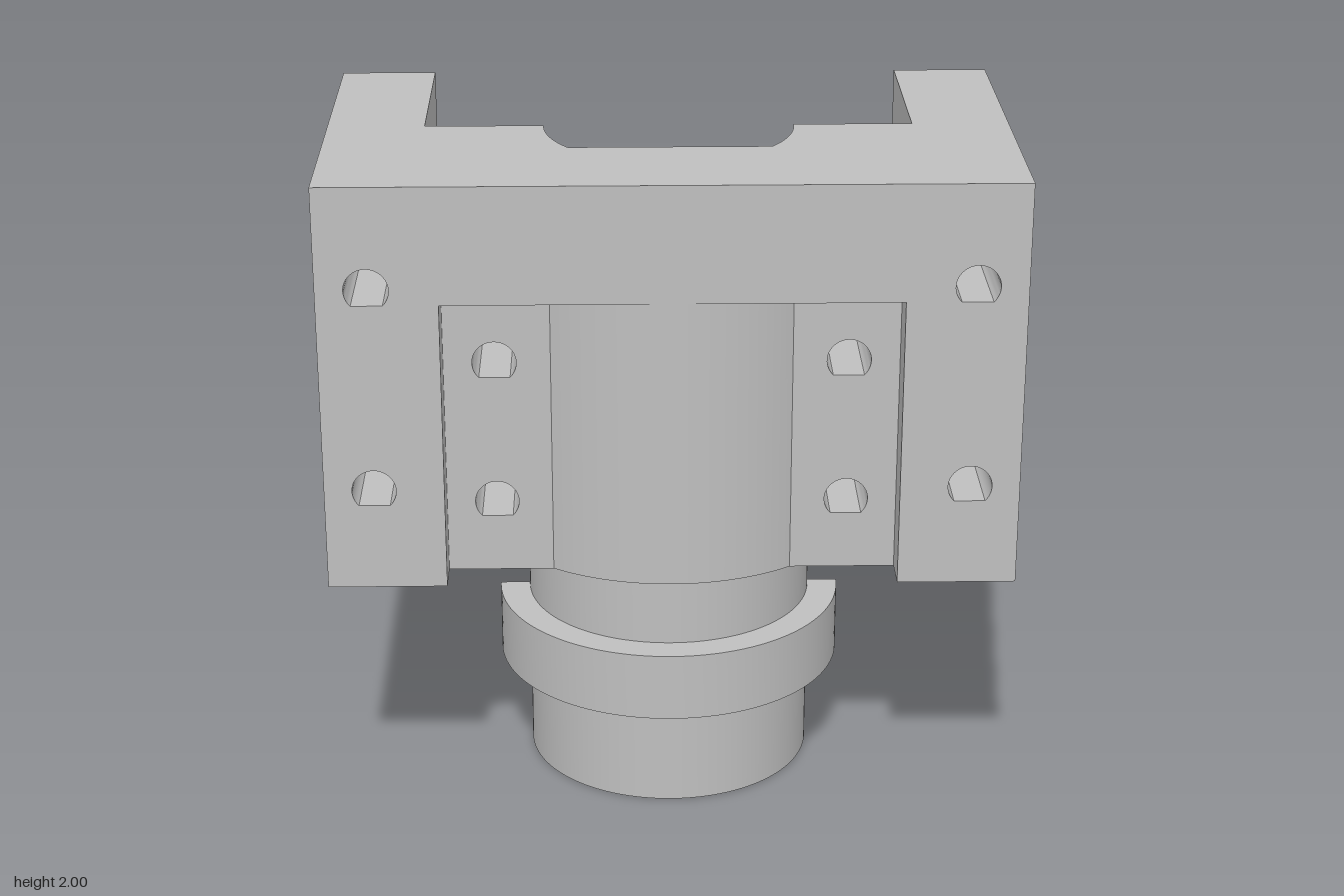
import * as THREE from 'three';
import { toCreasedNormals } from 'three/addons/utils/BufferGeometryUtils.js';

// Main dimensions
const HALF_W = 0.993, HALF_D = 0.578, TOP = 2, BASE = 0.794, POCKET_TOP = 1.655;
const CHANNEL = 0.71;      // half width of the rear channel
const POCKET = 0.65;       // half width of the front pocket
const BORE = 0.364, TUBE = 0.43, FLANGE = 0.52;
const PAD_BACK = 0.025;    // rear recess of the bolt pads
const BULGE_X = 0.345;     // where the front bulge meets the pads
const PAD_FRONT = Math.sqrt(HALF_D ** 2 - BULGE_X ** 2);

// Extrude an (x, z) plan upwards from y0 to y1
function extrudeUp(plan, y0, y1) {
  const g = new THREE.ExtrudeGeometry(plan, { depth: y1 - y0, bevelEnabled: false, curveSegments: 40 });
  g.rotateX(Math.PI / 2).translate(0, y1, 0);
  return toCreasedNormals(g, 0.5);
}

// Plate from z0 to z1 with teardrop bolt holes
function drilledPlate(x0, x1, y0, y1, z0, z1, holes) {
  const s = new THREE.Shape();
  s.moveTo(x0, y0).lineTo(x1, y0).lineTo(x1, y1).lineTo(x0, y1).closePath();
  const r = 0.063;
  for (const [x, y] of holes) {
    const h = new THREE.Path();
    h.moveTo(x, y - r * Math.SQRT2);
    h.absarc(x, y, r, -Math.PI / 4, Math.PI * 5 / 4, false);
    h.closePath();
    s.holes.push(h);
  }
  const g = new THREE.ExtrudeGeometry(s, { depth: z1 - z0, bevelEnabled: false, curveSegments: 16 });
  g.translate(0, 0, z0);
  return toCreasedNormals(g, 0.5);
}

// Half ring on the front side
function halfRing(inner, outer) {
  const s = new THREE.Shape();
  s.moveTo(outer, 0);
  s.absarc(0, 0, outer, 0, Math.PI, false);
  s.lineTo(-inner, 0);
  s.absarc(0, 0, inner, Math.PI, 0, true);
  s.closePath();
  return s;
}

export function createModel() {
  const model = new THREE.Group();
  const grey = new THREE.MeshStandardMaterial({ color: 0xbfbfbf });
  grey.name = 'plain grey';
  const add = (name, geometry) => {
    const mesh = new THREE.Mesh(geometry, grey);
    mesh.name = name;
    model.add(mesh);
  };

  for (const [side, label] of [[1, 'left'], [-1, 'right']]) {
    const span = (a, b) => (side > 0 ? [a, b] : [-b, -a]);

    // Full-depth side wall with two bolt holes
    add(label + 'Wall', drilledPlate(...span(CHANNEL, HALF_W), BASE, TOP, -HALF_D, HALF_D,
      [[side * 0.85, 1.7], [side * 0.85, 1.095]]));

    // Rib between the wall and the pocket
    const rib = new THREE.BoxGeometry(CHANNEL - POCKET, POCKET_TOP - BASE, HALF_D);
    rib.translate(side * (CHANNEL + POCKET) / 2, (POCKET_TOP + BASE) / 2, HALF_D / 2);
    add(label + 'Rib', rib);

    // Recessed bolt pad
    add(label + 'BoltPad', drilledPlate(...span(0.363, POCKET), BASE, POCKET_TOP, PAD_BACK, PAD_FRONT,
      [[side * 0.505, 1.44], [side * 0.505, 1.01]]));
  }

  // Upper bridge with a flat-bottomed notch
  const notchZ = 0.218, a = Math.asin(notchZ / BORE);
  const bridge = new THREE.Shape();
  bridge.moveTo(BORE, 0).lineTo(CHANNEL, 0).lineTo(CHANNEL, HALF_D).lineTo(-CHANNEL, HALF_D)
    .lineTo(-CHANNEL, 0).lineTo(-BORE, 0);
  bridge.absarc(0, 0, BORE, Math.PI, Math.PI - a, true);
  bridge.absarc(0, 0, BORE, a, 0, true);
  add('upperBridge', extrudeUp(bridge, POCKET_TOP, TOP));

  // Half-cylinder socket, rounded in front and bored behind
  const f = Math.acos(BULGE_X / HALF_D), b = Math.asin(PAD_BACK / BORE);
  const socket = new THREE.Shape();
  socket.moveTo(0.363, PAD_BACK).lineTo(0.363, PAD_FRONT);
  socket.absarc(0, 0, HALF_D, f, Math.PI - f, false);
  socket.lineTo(-0.363, PAD_FRONT).lineTo(-0.363, PAD_BACK);
  socket.absarc(0, 0, BORE, Math.PI - b, b, true);
  add('socket', extrudeUp(socket, BASE, POCKET_TOP));

  // Half tube below, with its flange
  add('halfTube', extrudeUp(halfRing(BORE, TUBE), 0, BASE));
  add('tubeFlange', extrudeUp(halfRing(TUBE, FLANGE), 0.323, 0.53));

  return model;
}
